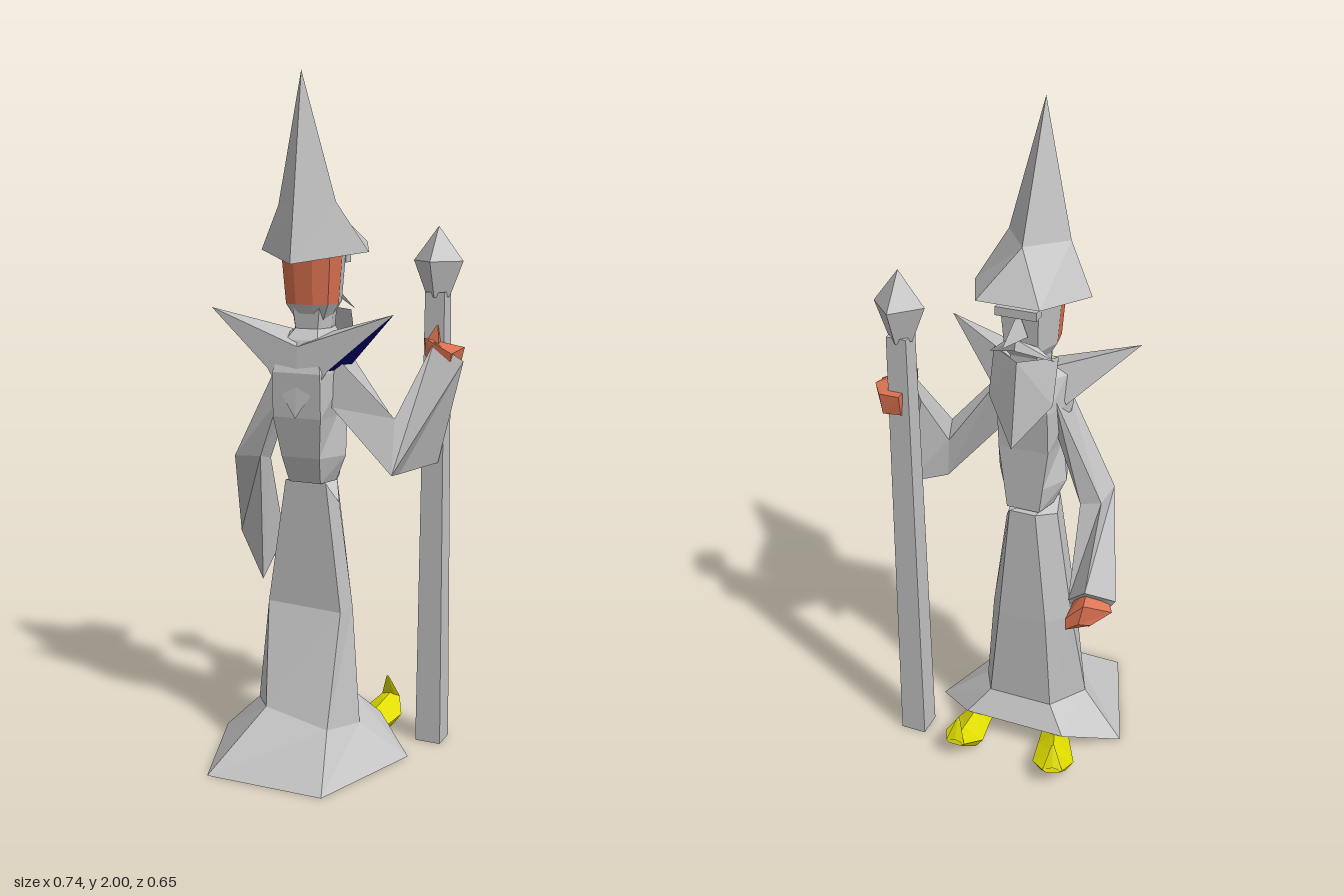
import * as THREE from 'three';

const mat = (name, color) => new THREE.MeshStandardMaterial({ name, color, flatShading: true, side: THREE.DoubleSide });

// Builds a faceted geometry from triangles given as triples of points
function facets(tris) {
  const g = new THREE.BufferGeometry();
  g.setAttribute('position', new THREE.Float32BufferAttribute(tris.flat(2), 3));
  g.computeVertexNormals();
  return g;
}

// Skins a list of equal-length cross-sections; optional end caps
function loft(rings, { closed = true, start = false, end = false } = {}) {
  const tris = [];
  const n = rings[0].length;
  for (let r = 0; r < rings.length - 1; r++) {
    for (let i = 0; i < (closed ? n : n - 1); i++) {
      const j = (i + 1) % n, a = rings[r], b = rings[r + 1];
      tris.push([a[i], a[j], b[j]], [a[i], b[j], b[i]]);
    }
  }
  const cap = (ring, flip) => {
    for (let i = 1; i < n - 1; i++) tris.push(flip ? [ring[0], ring[i + 1], ring[i]] : [ring[0], ring[i], ring[i + 1]]);
  };
  if (start) cap(rings[0], true);
  if (end) cap(rings[rings.length - 1], false);
  return facets(tris);
}

// Six-sided body section: centre x, half width, height, back z, side z, face z
const CX = -0.06;
const section = (half, flat, y, zBack, zSide, zFace) => [
  [CX - flat, y, zBack], [CX + flat, y, zBack], [CX + half, y, zSide],
  [CX + flat, y, zFace], [CX - flat, y, zFace], [CX - half, y, zSide],
];

export function createModel() {
  const grey = mat('grey cloth', 0xc0c0c0);
  const skin = mat('skin', 0xd9704f);
  const yellow = mat('yellow shoe', 0xe0dc00);
  const navy = mat('navy lining', 0x000080);

  const model = new THREE.Group();
  model.name = 'wizard';
  const add = (name, geometry, material, parent = model) => {
    const m = new THREE.Mesh(geometry, material);
    m.name = name;
    parent.add(m);
    return m;
  };

  // Robe: flared hem raised over the feet, then a slim skirt
  add('robe', loft([
    [[-0.245, 0, 0.32], [0.117, 0, 0.32], [0.24, 0, -0.04], [0.1, 0.07, -0.17], [-0.22, 0.07, -0.17], [-0.37, 0, -0.04]],
    [[-0.145, 0.16, 0.135], [0.055, 0.12, 0.14], [0.1, 0.1, 0], [0.04, 0.14, -0.12], [-0.16, 0.14, -0.12], [-0.235, 0.13, 0]],
    [[-0.19, 0.45, 0.02], [0.045, 0.44, 0.02], [0.055, 0.44, -0.05], [0.01, 0.45, -0.118], [-0.14, 0.45, -0.118], [-0.2, 0.45, -0.05]],
    [[-0.13, 0.83, 0.025], [0, 0.83, 0.025], [0.015, 0.76, -0.04], [-0.02, 0.82, -0.105], [-0.1, 0.82, -0.105], [-0.145, 0.8, -0.04]],
  ], { end: true }), grey);

  // Torso from waist to neck
  add('torso', loft([
    section(0.07, 0.05, 0.83, 0.04, -0.03, -0.1),
    section(0.105, 0.06, 0.91, 0.07, -0.02, -0.1),
    section(0.085, 0.075, 1.03, 0.095, 0, -0.1),
    section(0.115, 0.075, 1.16, 0.1, 0, -0.11),
    section(0.1, 0.05, 1.25, 0.06, -0.02, -0.1),
    section(0.055, 0.035, 1.28, 0.025, -0.03, -0.1),
    section(0.06, 0.045, 1.37, 0.03, -0.03, -0.1),
  ], { start: true }), grey);

  // Collar: two pointed wings meeting in a V
  const centre = [CX, 1.235, 0.09], vee = [CX, 1.03, 0.105];
  for (const s of [-1, 1]) {
    const tip = [CX + s * 0.285, 1.335, 0.068];
    const low = [CX + s * 0.095, 1.17, 0.09];
    const neck = [CX + s * 0.055, 1.27, -0.03];
    const under = [CX + s * 0.105, 1.165, -0.04];
    add('collarWing', facets([
      [tip, centre, low], [low, centre, vee], [tip, neck, centre], [tip, under, neck],
    ]), grey);
    add('collarUnderside', facets([[tip, low, under]]), s > 0 ? navy : grey);
  }

  // Head: skin at the nape, grey hair and face in front
  const headRing = (y, k) => [
    [-0.085, -0.035], [-0.075, 0.03], [-0.03, 0.052], [0.03, 0.052], [0.075, 0.03], [0.085, -0.035], [0.055, -0.13], [-0.055, -0.13],
  ].map(([x, z]) => [CX + x * k, y, (z + 0.03) * k - 0.03]);
  const lower = headRing(1.35, 0.88), upper = headRing(1.51, 1.03), chin = headRing(1.3, 0.55);
  add('nape', loft([lower.slice(0, 6), upper.slice(0, 6)], { closed: false }), skin);
  const faceOf = (r) => [r[5], r[6], r[7], r[0]];
  add('face', loft([faceOf(chin), faceOf(lower), faceOf(upper)], { closed: false }), grey);
  add('jaw', loft([chin, lower], { start: true }), grey);

  // Brows, nose, moustache and beard
  const brow = add('brow', new THREE.BoxGeometry(0.12, 0.025, 0.035), grey);
  brow.position.set(CX, 1.475, -0.14);
  add('nose', facets([
    [[CX, 1.475, -0.135], [CX - 0.025, 1.4, -0.13], [CX, 1.415, -0.25]],
    [[CX, 1.475, -0.135], [CX, 1.415, -0.25], [CX + 0.025, 1.4, -0.13]],
    [[CX - 0.025, 1.4, -0.13], [CX + 0.025, 1.4, -0.13], [CX, 1.415, -0.25]],
  ]), grey);
  for (const s of [-1, 1]) {
    add('moustache', facets([
      [[CX, 1.4, -0.155], [CX, 1.37, -0.165], [CX + s * 0.095, 1.33, -0.11]],
      [[CX, 1.4, -0.155], [CX + s * 0.095, 1.33, -0.11], [CX + s * 0.05, 1.37, -0.12]],
    ]), grey);
    add('beard', facets([
      [[CX, 1.33, -0.15], [CX, 1.08, -0.19], [CX + s * 0.095, 1.2, -0.12]],
      [[CX, 1.33, -0.15], [CX + s * 0.095, 1.2, -0.12], [CX + s * 0.095, 1.33, -0.08]],
      [[CX, 1.08, -0.19], [CX, 1.15, -0.1], [CX + s * 0.095, 1.2, -0.12]],
    ]), grey);
  }

  // Hat: five-sided brim, shoulder and leaning point
  const brim = [[-0.23, 1.5, -0.03], [CX, 1.47, 0.135], [0.11, 1.5, -0.03], [0.032, 1.52, -0.21], [-0.148, 1.52, -0.21]];
  const crown = [[-0.15, 1.63, 0.02], [CX, 1.63, 0.11], [0.03, 1.64, 0.02], [CX, 1.645, -0.11], [CX, 1.645, -0.11]];
  add('hat', loft([brim, crown, crown.map(() => [CX, 2, 0.055])], { start: true }), grey);

  // Lowered right arm
  add('rightSleeve', loft([
    [[-0.13, 1.2, 0.05], [-0.14, 1.2, -0.07], [-0.14, 1.08, -0.05], [-0.14, 1.07, 0.05]],
    [[-0.295, 0.89, 0.03], [-0.285, 0.88, -0.06], [-0.225, 0.87, -0.07], [-0.22, 0.89, 0.01]],
    [[-0.365, 0.61, -0.14], [-0.29, 0.66, -0.2], [-0.23, 0.6, -0.17], [-0.275, 0.47, -0.11]],
  ], { start: true, end: true }), grey);
  add('rightHand', loft([
    [[-0.34, 0.6, -0.13], [-0.285, 0.65, -0.16], [-0.245, 0.6, -0.15], [-0.27, 0.54, -0.14]],
    [[-0.36, 0.58, -0.155], [-0.29, 0.62, -0.21], [-0.24, 0.57, -0.22], [-0.27, 0.53, -0.18]],
    [[-0.31, 0.55, -0.2], [-0.28, 0.56, -0.22], [-0.24, 0.53, -0.22], [-0.25, 0.51, -0.18]],
  ], { start: true, end: true }), skin);

  // Raised left arm
  add('leftSleeve', loft([
    [[0.04, 1.21, 0.05], [0.04, 1.2, -0.07], [0.03, 1.06, -0.06], [0.03, 1.06, 0.05]],
    [[0.2, 1.03, -0.01], [0.18, 1.0, -0.08], [0.2, 0.86, -0.05], [0.205, 0.87, 0.025]],
    [[0.27, 1.24, -0.14], [0.225, 1.16, -0.16], [0.28, 0.88, -0.16], [0.365, 1.19, -0.125]],
  ], { start: true, end: true }), grey);
  add('leftHand', loft([
    [[0.24, 1.25, -0.14], [0.33, 1.21, -0.12], [0.32, 1.13, -0.12], [0.25, 1.14, -0.14]],
    [[0.235, 1.23, -0.2], [0.34, 1.22, -0.21], [0.32, 1.12, -0.2], [0.24, 1.12, -0.2]],
    [[0.25, 1.21, -0.25], [0.31, 1.21, -0.25], [0.3, 1.15, -0.25], [0.25, 1.15, -0.24]],
  ], { start: true, end: true }), skin);
  add('leftThumb', facets([
    [[0.235, 1.23, -0.15], [0.285, 1.22, -0.14], [0.27, 1.29, -0.17]],
    [[0.285, 1.22, -0.14], [0.28, 1.21, -0.2], [0.27, 1.29, -0.17]],
    [[0.28, 1.21, -0.2], [0.235, 1.23, -0.15], [0.27, 1.29, -0.17]],
  ]), skin);

  // Staff: square tapering shaft with a faceted knob
  const staff = new THREE.Group();
  staff.name = 'staff';
  staff.position.set(0.258, 0, -0.203);
  model.add(staff);
  const shaft = new THREE.CylinderGeometry(0.042, 0.056, 1.38, 4, 1);
  shaft.rotateY(Math.PI / 4);
  shaft.translate(0, 0.69, 0);
  add('shaft', shaft, grey, staff);
  const profile = [[0.035, 1.365], [0.076, 1.47], [0, 1.57]].map(([x, y]) => new THREE.Vector2(x, y));
  add('knob', new THREE.LatheGeometry(profile, 4), grey, staff);

  // Shoes with curled toes: [z, half width, base height, top height]
  const shoeSections = [[-0.04, 0.035, 0, 0.03], [-0.16, 0.05, 0, 0.07], [-0.245, 0.063, 0.005, 0.075], [-0.315, 0.03, 0.06, 0.08], [-0.285, 0.004, 0.14, 0.145]];
  const shoe = loft(shoeSections.map(([z, w, low, top]) => [
    [-w * 0.6, low, z], [w * 0.6, low, z], [w, (low + top) / 2, z], [0, top, z], [-w, (low + top) / 2, z],
  ]), { start: true, end: true });
  add('leftShoe', shoe, yellow).position.x = 0.078;
  const rightShoe = add('rightShoe', shoe.clone(), yellow);
  rightShoe.rotation.y = 0.32;
  rightShoe.position.set(-0.145, 0, -0.02);

  return model;
}
